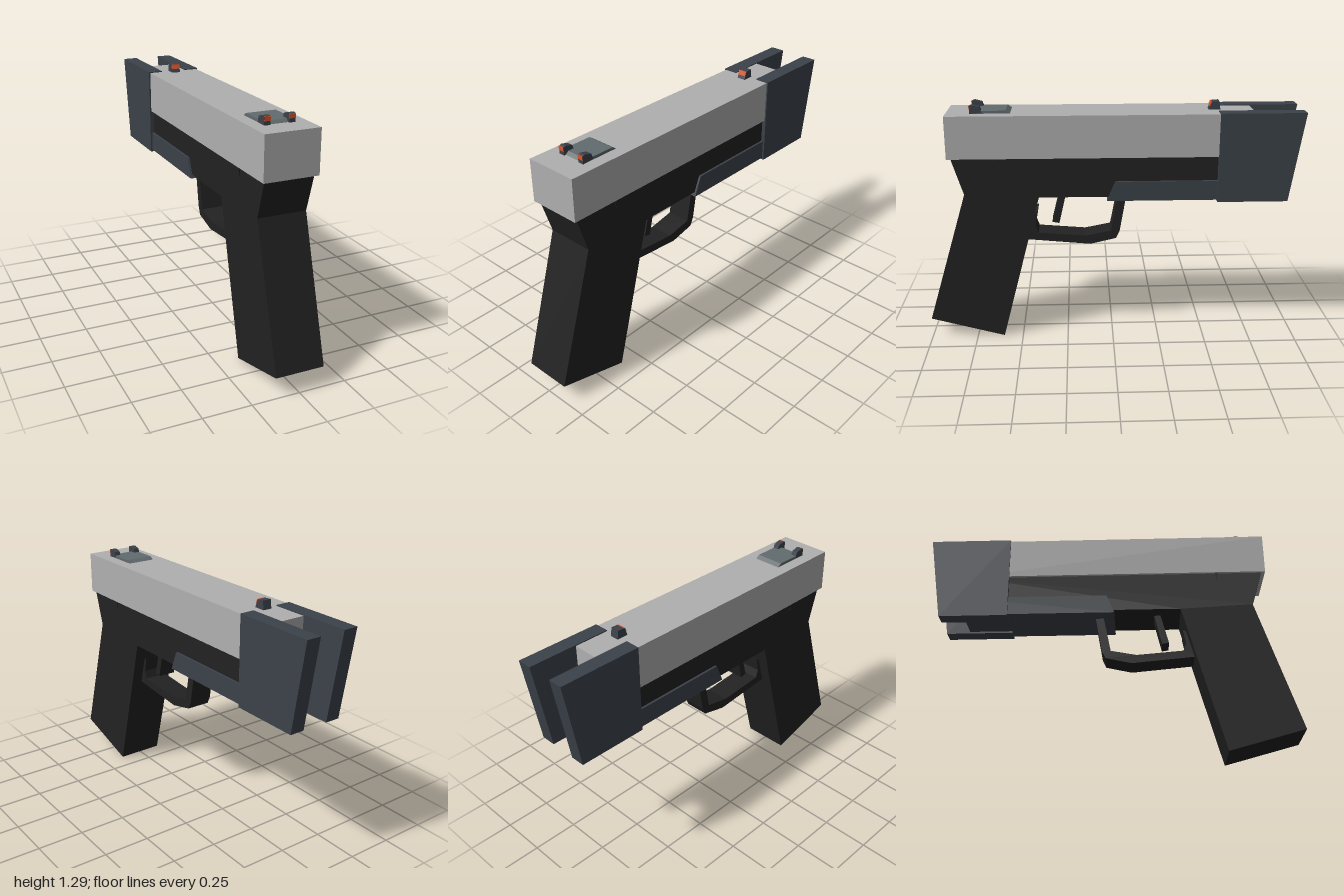
import * as THREE from 'three';

const mat = (name, color) => {
  const m = new THREE.MeshStandardMaterial({ color });
  m.name = name;
  return m;
};

export function createModel() {
  const group = new THREE.Group();
  const silver = mat('silver', 0xb0b0b0);
  const black = mat('black', 0x222222);
  const slate = mat('slate', 0x3c424a);
  const grey = mat('grey', 0x626b6e);
  const orange = mat('orange', 0xd9542b);

  // Side profile given as [z, y] points, extruded to a width centred on x
  function part(name, material, points, width, x = 0) {
    const shape = new THREE.Shape(points.map(([z, y]) => new THREE.Vector2(z, y)));
    const geo = new THREE.ExtrudeGeometry(shape, { depth: width, bevelEnabled: false });
    geo.translate(0, 0, -width / 2).rotateY(-Math.PI / 2);
    const mesh = new THREE.Mesh(geo, material);
    mesh.name = name;
    mesh.position.x = x;
    group.add(mesh);
  }

  // Upper slide
  part('slide', silver, [[0.86, 1.02], [-0.74, 1.02], [-0.74, 1.245], [0.86, 1.245]], 0.285);

  // Frame and raked grip in one piece
  part('frameAndGrip', black, [
    [0.84, 1.02], [0.78, 0.825], [1.0, 0.11], [0.603, 0],
    [0.39, 0.805], [-0.74, 0.805], [-0.74, 1.02],
  ], 0.256);

  // Trigger guard loop
  part('triggerGuard', black, [
    [0.47, 0.548], [0.12, 0.515], [-0.02, 0.547], [-0.04, 0.59], [-0.078, 0.81],
    [-0.034, 0.81], [0.008, 0.59], [0.147, 0.563], [0.4, 0.584], [0.415, 0.627],
    [0.4, 0.708], [0.44, 0.69],
  ], 0.13);
  part('trigger', black, [[0.281, 0.81], [0.246, 0.81], [0.287, 0.633], [0.324, 0.64]], 0.1);

  // Lower rail under the frame
  part('lowerRail', slate, [[0.03, 0.785], [-0.013, 0.89], [-0.795, 0.89], [-0.795, 0.785]], 0.28);

  // Muzzle side plates and small frame pins
  for (const s of [1, -1]) {
    part(s > 0 ? 'leftMuzzlePlate' : 'rightMuzzlePlate', slate,
      [[-0.553, 0.775], [-0.927, 0.775], [-1, 1.25], [-0.553, 1.25]], 0.079, s * 0.1105);
    part(s > 0 ? 'leftPin' : 'rightPin', black,
      [[0.6, 1.02], [0.59, 1.02], [0.592, 0.97]], 0.006, s * 0.129);
  }

  // Rear sight: low base with two posts and orange marks
  part('rearSightBase', grey, [[0.73, 1.24], [0.52, 1.24], [0.55, 1.26], [0.71, 1.26]], 0.156);
  for (const s of [1, -1]) {
    const x = s * 0.064;
    part(s > 0 ? 'leftRearPost' : 'rightRearPost', slate,
      [[0.735, 1.245], [0.735, 1.285], [0.722, 1.29], [0.683, 1.28], [0.673, 1.25]], 0.032, x);
    part(s > 0 ? 'leftRearMark' : 'rightRearMark', orange,
      [[0.734, 1.265], [0.738, 1.265], [0.738, 1.286], [0.734, 1.286]], 0.031, x);
  }

  // Front sight with a mark on its sloped rear face
  part('frontSight', slate, [[-0.506, 1.24], [-0.524, 1.287], [-0.562, 1.29], [-0.57, 1.24]], 0.048);
  part('frontSightMark', orange,
    [[-0.515, 1.264], [-0.511, 1.265], [-0.52, 1.289], [-0.524, 1.287]], 0.047);

  return group;
}
